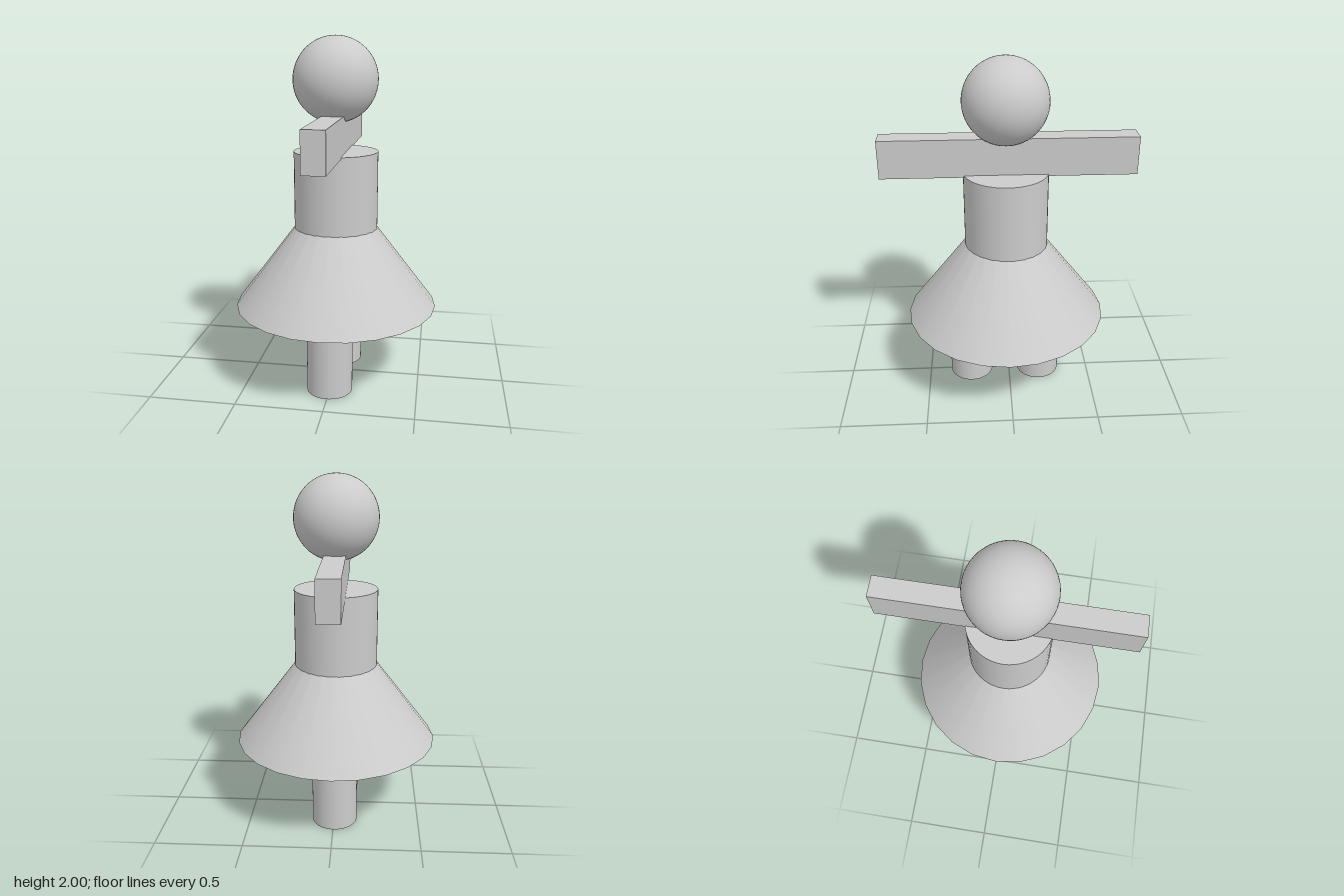
import * as THREE from 'three';

export function createModel() {
  const model = new THREE.Group();
  const material = new THREE.MeshStandardMaterial({ color: 0xcccccc });

  const add = (name, geometry, x, y, z) => {
    const mesh = new THREE.Mesh(geometry, material);
    mesh.name = name;
    mesh.position.set(x, y, z);
    model.add(mesh);
  };

  // Round head resting in the arm bar
  add('head', new THREE.SphereGeometry(0.238, 48, 32), -0.004, 1.762, 0.016);

  // One straight bar forms both arms
  add('arms', new THREE.BoxGeometry(0.122, 0.217, 1.424), -0.001, 1.4635, 0);

  // Torso, its lower end sunk into the skirt
  add('torso', new THREE.CylinderGeometry(0.24, 0.24, 0.485, 48), -0.002, 1.1225, 0.015);

  // Conical skirt, its tip hidden in the torso
  add('skirt', new THREE.ConeGeometry(0.588, 0.78, 24), -0.002, 0.85, 0.018);

  // Two legs, side by side along the arm direction
  for (const [name, z] of [['frontLeg', 0.237], ['backLeg', -0.183]]) {
    add(name, new THREE.CylinderGeometry(0.131, 0.131, 0.47, 48), -0.004, 0.235, z);
  }

  return model;
}
